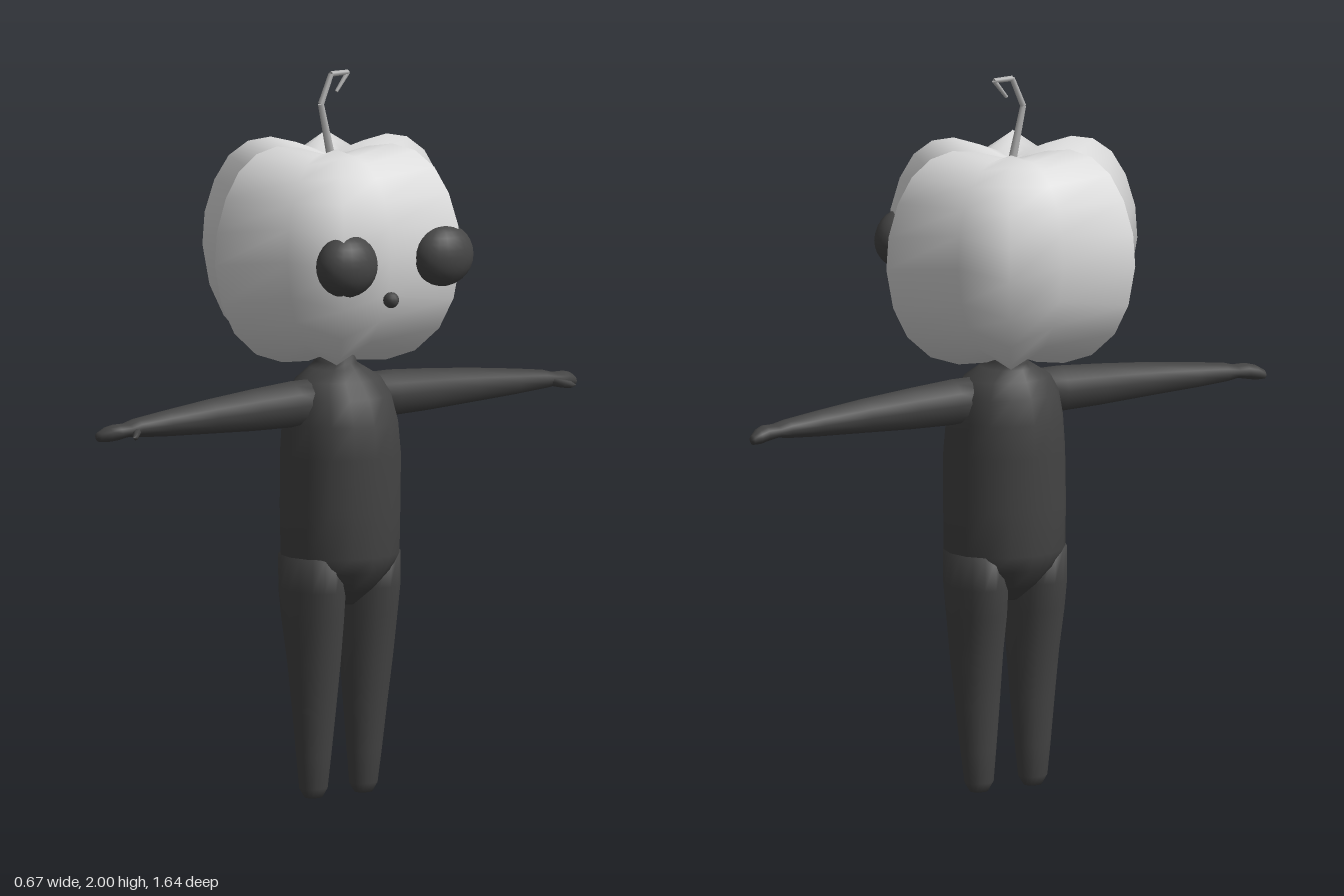
import * as THREE from 'three';

const mat = (name, color) => {
  const m = new THREE.MeshStandardMaterial({ color });
  m.name = name;
  return m;
};

// Skin a stack of closed rings (bottom to top) with smooth normals
function loft(rings) {
  const n = rings[0].length, pos = rings.flat(2), idx = [];
  for (let i = 0; i < rings.length - 1; i++) {
    for (let j = 0; j < n; j++) {
      const k = (j + 1) % n;
      const a = i * n + j, b = i * n + k, c = a + n, d = b + n;
      idx.push(a, c, b, b, c, d);
    }
  }
  const g = new THREE.BufferGeometry();
  g.setAttribute('position', new THREE.Float32BufferAttribute(pos, 3));
  g.setIndex(idx);
  g.computeVertexNormals();
  return g;
}

// Elliptical ring in the horizontal plane
function ring([y, cx, cz, rx, rz], n = 16) {
  return Array.from({ length: n }, (_, i) => {
    const a = (i / n) * Math.PI * 2;
    return [cx + rx * Math.cos(a), y, cz + rz * Math.sin(a)];
  });
}

export function createModel() {
  const model = new THREE.Group();
  const pale = mat('pale pumpkin', 0xdcdcdc);
  const dark = mat('dark suit', 0x444444);
  const eyeMat = mat('dark eyes', 0x464646);
  const stemMat = mat('grey stem', 0xb4b4b4);
  const add = (name, geo, material, parent = model) => {
    const m = new THREE.Mesh(geo, material);
    m.name = name;
    parent.add(m);
    return m;
  };

  // Pumpkin head: six ridges alternating with six valleys
  // [ridge radius, ridge y, valley radius, valley y]
  const profile = [
    [0.001, 1.22, 0.001, 1.22], [0.08, 1.205, 0.06, 1.22], [0.17, 1.21, 0.12, 1.235],
    [0.26, 1.24, 0.19, 1.27], [0.335, 1.305, 0.24, 1.335], [0.38, 1.39, 0.275, 1.41],
    [0.402, 1.5, 0.295, 1.51], [0.395, 1.59, 0.285, 1.6], [0.365, 1.68, 0.26, 1.67],
    [0.32, 1.75, 0.22, 1.725], [0.26, 1.793, 0.17, 1.76], [0.19, 1.808, 0.12, 1.775],
    [0.11, 1.797, 0.07, 1.775], [0.05, 1.778, 0.03, 1.768], [0.001, 1.765, 0.001, 1.765],
  ];
  const head = profile.map(([rr, ry, vr, vy]) => Array.from({ length: 12 }, (_, i) => {
    const a = (i * Math.PI) / 6, r = i % 2 ? rr : vr;
    return [-0.018 + 0.91 * r * Math.cos(a), i % 2 ? ry : vy, r * Math.sin(a)];
  }));
  add('pumpkinHead', loft(head), pale);

  // Crooked stem made of straight tapered lengths
  const stem = new THREE.Group();
  stem.name = 'stem';
  model.add(stem);
  const path = [[1.76, 0.0, 0.013], [1.91, 0.035, 0.009], [1.99, 0.0, 0.008], [1.99, -0.058, 0.007], [1.94, -0.018, 0.005]];
  for (let i = 0; i < path.length - 1; i++) {
    const [y0, z0, r0] = path[i], [y1, z1, r1] = path[i + 1];
    const dir = new THREE.Vector3(0, y1 - y0, z1 - z0);
    const seg = add('stemSegment', new THREE.CylinderGeometry(r1, r0, dir.length(), 6), stemMat, stem);
    seg.position.set(-0.02, (y0 + y1) / 2, (z0 + z1) / 2);
    seg.quaternion.setFromUnitVectors(new THREE.Vector3(0, 1, 0), dir.normalize());
  }

  // Nose
  add('nose', new THREE.SphereGeometry(0.022, 12, 8), eyeMat).position.set(0.255, 1.4, 0.005);

  // Torso, tapering into the crotch below and the neck above: [y, cx, cz, rx, rz]
  const torso = [
    [0.53, 0.02, 0, 0.001, 0.001], [0.535, 0.02, 0, 0.05, 0.03], [0.58, 0.02, 0, 0.105, 0.085],
    [0.63, 0.02, 0, 0.14, 0.14], [0.675, 0.02, 0, 0.153, 0.172], [0.8, 0.02, 0, 0.157, 0.173],
    [0.95, 0.022, 0, 0.162, 0.17], [1.04, 0.02, 0, 0.156, 0.163], [1.11, 0.015, 0, 0.135, 0.15],
    [1.155, 0.01, 0, 0.105, 0.125], [1.185, 0.005, 0, 0.08, 0.075], [1.2, 0.0, 0, 0.07, 0.05],
    [1.235, 0.0, 0, 0.065, 0.045], [1.235, 0.0, 0, 0.001, 0.001],
  ];
  add('torso', loft(torso.map((r) => ring(r))), dark);

  for (const s of [1, -1]) {
    const side = s > 0 ? 'A' : 'B';

    // Eye, pierced by the ridge of the head
    const eye = add('eye' + side, new THREE.SphereGeometry(1, 20, 14), eyeMat);
    eye.scale.set(0.067, 0.086, 0.094);
    eye.position.set(0.265, 1.51, 0.165 * s);

    // Leg
    const leg = [
      [0, 0.013, 0.086, 0.001, 0.001], [0.004, 0.013, 0.086, 0.022, 0.026], [0.03, 0.013, 0.086, 0.035, 0.042],
      [0.12, 0.015, 0.087, 0.045, 0.051], [0.25, 0.018, 0.088, 0.058, 0.063], [0.38, 0.02, 0.09, 0.075, 0.073],
      [0.5, 0.017, 0.092, 0.094, 0.081], [0.58, 0.017, 0.094, 0.107, 0.082], [0.675, 0.017, 0.096, 0.11, 0.078],
      [0.675, 0.017, 0.096, 0.001, 0.001],
    ].map(([y, cx, cz, rx, rz]) => ring([y, cx, cz * s, rx, rz]));
    add('leg' + side, loft(leg), dark);

    // Arm and mitten hand, lofted upright and then swung out sideways
    // [reach, x, height offset, half depth, half height]
    const swing = (rows, n) => loft(rows.map(([l, x, h, rx, rz]) => ring([l, x, -h * s, rx, rz], n)))
      .rotateX((s * Math.PI) / 2);
    const arm = [
      [0.08, 0.018, 0.01, 0.001, 0.001], [0.08, 0.018, 0.01, 0.056, 0.062], [0.17, 0.018, 0.008, 0.058, 0.064],
      [0.3, 0.018, 0.005, 0.05, 0.058], [0.45, 0.018, 0.002, 0.045, 0.048], [0.6, 0.017, -0.003, 0.038, 0.036],
      [0.7, 0.016, -0.006, 0.034, 0.026], [0.735, 0.018, -0.008, 0.036, 0.018], [0.77, 0.018, -0.011, 0.032, 0.022],
      [0.795, 0.01, -0.016, 0.027, 0.021], [0.818, 0.002, -0.022, 0.016, 0.013], [0.822, 0.0, -0.023, 0.001, 0.001],
    ];
    add('arm' + side, swing(arm, 12), dark).position.y = 1.09;
    const thumb = [
      [0.705, 0.03, -0.01, 0.001, 0.001], [0.715, 0.038, -0.012, 0.02, 0.012], [0.735, 0.06, -0.016, 0.016, 0.012],
      [0.75, 0.078, -0.018, 0.012, 0.01], [0.763, 0.085, -0.02, 0.001, 0.001],
    ];
    add('thumb' + side, swing(thumb, 8), dark).position.y = 1.09;
  }
  return model;
}
